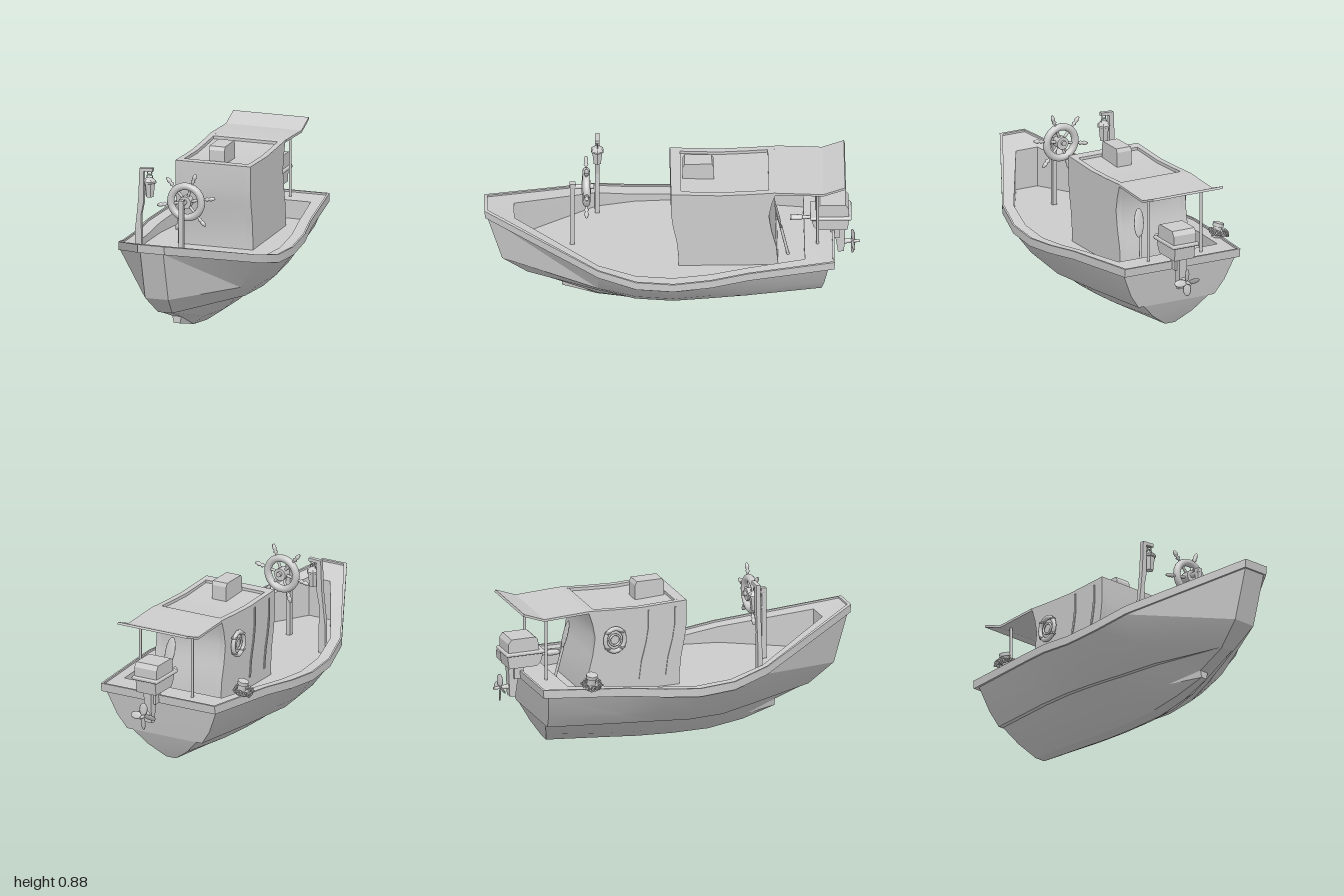
import * as THREE from 'three';
import { toCreasedNormals } from 'three/addons/utils/BufferGeometryUtils.js';
import { RoundedBoxGeometry } from 'three/addons/geometries/RoundedBoxGeometry.js';

const flat = new THREE.MeshStandardMaterial({ color: 0xcccccc, flatShading: true });
const smooth = new THREE.MeshStandardMaterial({ color: 0xcccccc, side: THREE.DoubleSide });

function add(parent, name, geo, mat = flat, pos = [0, 0, 0], rot = [0, 0, 0]) {
  const m = new THREE.Mesh(geo, mat);
  m.name = name;
  m.position.set(...pos);
  m.rotation.set(...rot);
  parent.add(m);
  return m;
}
function group(parent, name, pos = [0, 0, 0]) {
  const g = new THREE.Group();
  g.name = name;
  g.position.set(...pos);
  parent.add(g);
  return g;
}
const box = (w, h, d) => new THREE.BoxGeometry(w, h, d);
const cyl = (r1, r2, h, n = 12) => new THREE.CylinderGeometry(r1, r2, h, n);
const lathe = (pts, n) => new THREE.LatheGeometry(pts.map(p => new THREE.Vector2(...p)), n);

// Skin between fore-to-aft lines, mirrored in x and closed at bow and stern
function shell(lines) {
  const pos = [];
  const mir = ([x, y, z]) => [-x, y, z];
  const quad = (a, b, c, d) => pos.push(...a, ...b, ...c, ...a, ...c, ...d);
  for (let j = 0; j < lines.length - 1; j++) {
    const A = lines[j], B = lines[j + 1], n = A.length - 1;
    for (let i = 0; i < n; i++) {
      quad(A[i], B[i], B[i + 1], A[i + 1]);
      quad(mir(B[i]), mir(A[i]), mir(A[i + 1]), mir(B[i + 1]));
    }
    quad(A[0], mir(A[0]), mir(B[0]), B[0]);
    quad(B[n], mir(B[n]), mir(A[n]), A[n]);
  }
  const g = new THREE.BufferGeometry();
  g.setAttribute('position', new THREE.Float32BufferAttribute(pos, 3));
  return toCreasedNormals(g, .35);
}

// Side profile of [z, y] points extruded from x0 to x1
function profile(pts, x0, x1) {
  const s = new THREE.Shape(pts.map(([z, y]) => new THREE.Vector2(-z, y)));
  const g = new THREE.ExtrudeGeometry(s, { depth: x1 - x0, bevelEnabled: false });
  return toCreasedNormals(g.translate(0, 0, x0).rotateY(Math.PI / 2), .4);
}

function buildHull(boat) {
  const rimTop = [[.075, .613, 1], [.395, .445, .4], [.44, .40, .2], [.45, .39, 0], [.445, .41, -.2], [.41, .43, -.4], [.35, .455, -.86]];
  const rimBot = rimTop.map(([x, y, z]) => [x, y - .046, z * .995]);
  const hullTop = rimBot.map(([x, y, z], i) => [x - .01, y, i === 0 ? .985 : i === 6 ? -.825 : z]);
  // Small raised lip, sloping ledge, upright walls and a level deck
  const lip = rimTop.map(([x, y, z], i) => [x - .01, y, i === 0 ? .982 : i === 6 ? -.848 : z]);
  const lipFoot = lip.map(([x, y, z]) => [x, y - .01, z]);
  const ledge = [[.065, .56, .84], [.325, .431, .4], [.365, .389, .2], [.375, .38, 0], [.37, .399, -.2], [.34, .419, -.4], [.3, .442, -.7]];
  const deck = ledge.map(([x, , z]) => [x, .342, z]);
  const chine = [[.04, .185, .77], [.19, .17, .4], [.25, .155, .2], [.28, .16, 0], [.28, .175, -.2], [.27, .185, -.4], [.23, .2, -.79]];
  const mid = chine.map(([x, y, z], i) => {
    const [X, Y, Z] = hullTop[i];
    const mix = (a, b) => a * .6 + b * .4;
    return i ? [mix(x, X) + (i === 1 ? .025 : .01), mix(y, Y) - .006, mix(z, Z)] : [.065, .295, .905];
  });
  const chineIn = chine.map(([x, y, z], i) => [x - (i ? .03 : .005), y + .004, z]);
  const lowMid = [[.025, .118, .585], [.09, .08, .4], [.13, .07, .2], [.14, .07, 0], [.145, .078, -.2], [.14, .088, -.4], [.12, .12, -.755]];
  const keel = [[.018, .08, .585], [.03, .03, .4], [.035, .003, .2], [.035, .003, 0], [.035, .012, -.2], [.035, .03, -.4], [.03, .055, -.72]];
  const centre = line => line.map(([, y, z]) => [0, y, z]);
  add(boat, 'gunwale', shell([deck, ledge, lipFoot, lip, rimTop, rimBot, hullTop]), smooth);
  add(boat, 'hull', shell([hullTop, mid, chine, chineIn]), smooth);
  add(boat, 'keel', shell([chineIn, lowMid, keel, centre(keel)]), smooth);
  add(boat, 'deck', shell([centre(deck), deck]), smooth);
}

function buildCabin(boat) {
  const cabin = group(boat, 'cabin');
  const front = [[-.03, .335], [-.03, .4], [-.02, .5], [0, .6], [.01, .68], [.01, .81]];
  const back = [[-.55, .815], [-.525, .74], [-.51, .66], [-.525, .56], [-.55, .46], [-.56, .335]];
  const roof = [[-.25, .80], [-.4, .806]];
  // Roof panel is sunk between the full-height side walls
  add(cabin, 'cabinBody', profile([...front, [-.045, .808], [-.045, .793], [-.25, .783], [-.4, .789], [-.51, .796], [-.51, .812], ...back], -.18, .18), smooth);
  for (const s of [-1, 1])
    add(cabin, 'cabinSide', profile([...front, ...roof, ...back], s < 0 ? -.211 : .18, s < 0 ? -.18 : .211), smooth);
  add(cabin, 'roofHatch', profile([[-.055, .785], [-.055, .865], [-.065, .885], [-.21, .885], [-.22, .865], [-.22, .785]], -.046, .042), smooth);
  add(cabin, 'awning', profile([[-.55, .815], [-.66, .81], [-.8, .803], [-.915, .846], [-.92, .834], [-.8, .79], [-.66, .797], [-.545, .802]], -.213, .213), smooth);
  for (const s of [-1, 1])
    add(cabin, 'awningPost', cyl(.008, .008, .36, 8), smooth, [s * .16, .62, -.77]);
  // Curved door edges on the right wall, following the cabin front
  const jamb = z => front.slice(1, 5).map(([fz, y]) => [z + fz * 1.3, y]).concat([[z + .013, .78]]);
  for (const z of [-.06, -.21])
    add(cabin, 'doorEdge', profile([...jamb(z), ...jamb(z - .012).reverse()], -.216, -.205), smooth);
  // Hanging ring with rope bindings
  const ring = group(cabin, 'ropeRing', [-.23, .643, -.405]);
  ring.rotation.y = Math.PI / 2;
  add(ring, 'ring', new THREE.TorusGeometry(.06, .012, 10, 28).scale(.92, 1.05, 1), smooth);
  add(ring, 'innerRing', new THREE.TorusGeometry(.03, .006, 8, 20), smooth);
  for (let i = 0; i < 4; i++) {
    const a = Math.PI / 4 + i * Math.PI / 2;
    add(ring, 'binding', new THREE.TorusGeometry(.013, .005, 6, 12), smooth,
      [Math.cos(a) * .056, Math.sin(a) * .062, 0], [Math.PI / 2, a, 0, 'ZYX']);
  }
  // Paddle leaning on the back wall
  add(cabin, 'paddleBlade', new THREE.SphereGeometry(1, 12, 8).scale(.03, .08, .007), smooth, [.1, .585, -.56], [.22, 0, .1]);
  add(cabin, 'paddleGrip', cyl(.008, .008, .18, 8), smooth, [.108, .43, -.594], [.22, 0, .1]);
}

function buildHelm(boat) {
  const helm = group(boat, 'helm', [.007, .715, .457]);
  add(helm, 'wheelPost', box(.024, .39, .024), flat, [0, -.175, .075]);
  add(helm, 'postCap', box(.028, .022, .03), flat, [0, .016, .073]);
  add(helm, 'axle', cyl(.014, .014, .12, 10), smooth, [0, .005, .02], [Math.PI / 2, 0, 0]);
  add(helm, 'wheelRim', new THREE.TorusGeometry(.086, .02, 12, 36), smooth);
  add(helm, 'wheelHub', cyl(.034, .034, .05, 20), flat, [0, 0, 0], [Math.PI / 2, 0, 0]);
  const spoke = [[0, .02], [.008, .02], [.007, .1], [.006, .112], [.013, .122], [.007, .13], [.012, .142], [.011, .15], [.006, .165], [0, .167]];
  for (let i = 0; i < 6; i++)
    add(helm, 'spoke', lathe(spoke, 10), smooth, [0, 0, 0], [0, 0, (11 - 90 + i * 60) * Math.PI / 180]);
}

function buildLantern(boat) {
  const lamp = group(boat, 'lanternStand', [0, 0, .395]);
  const pts = [[-.30, .335], [-.262, .335], [-.262, .49], [-.266, .6], [-.25, .68], [-.25, .846], [-.2, .848], [-.2, .866], [-.274, .862], [-.28, .7], [-.29, .6], [-.3, .51]];
  const post = new THREE.Shape(pts.map(p => new THREE.Vector2(...p)));
  add(lamp, 'lanternPost', new THREE.ExtrudeGeometry(post, { depth: .024, bevelEnabled: false }).translate(0, 0, -.012));
  add(lamp, 'hook', new THREE.TorusGeometry(.012, .003, 6, 14), smooth, [-.22, .838, 0]);
  add(lamp, 'handle', new THREE.TorusGeometry(.016, .003, 6, 14), smooth, [-.22, .816, 0]);
  const lantern = lathe([[0, .708], [.022, .708], [.023, .72], [.03, .782], [.037, .785], [.037, .794], [.026, .806], [.014, .813], [0, .813]], 6);
  add(lamp, 'lantern', lantern.rotateY(Math.PI / 6), flat, [-.22, 0, 0]);
}

function buildMotor(boat) {
  const motor = group(boat, 'outboardMotor', [.03, 0, 0]);
  add(motor, 'cowl', profile([[-.762, .57], [-.77, .632], [-.785, .645], [-.92, .645], [-.937, .62], [-.937, .57]], -.068, .068));
  add(motor, 'cowlBand', new RoundedBoxGeometry(.16, .02, .22, 2, .008), smooth, [0, .56, -.842]);
  add(motor, 'motorBase', profile([[-.735, .555], [-.75, .5], [-.77, .478], [-.93, .478], [-.94, .555]], -.06, .06));
  add(motor, 'tiller', cyl(.008, .014, .13, 10), smooth, [0, .52, -.69], [-Math.PI / 2, 0, 0]);
  add(motor, 'tillerGrip', new THREE.CapsuleGeometry(.016, .04, 4, 10), smooth, [0, .52, -.66], [Math.PI / 2, 0, 0]);
  add(motor, 'clampBracket', box(.07, .08, .05), flat, [0, .45, -.865]);
  add(motor, 'leg', profile([[-.855, .48], [-.92, .48], [-.912, .31], [-.88, .305]], -.022, .022));
  add(motor, 'propellerShaft', cyl(.006, .018, .12, 10), smooth, [0, .36, -.938], [-Math.PI / 2, 0, 0]);
  const prop = group(motor, 'propeller', [0, .36, -.96]);
  for (let i = 0; i < 4; i++) {
    const blade = group(prop, 'blade');
    blade.rotation.z = i * Math.PI / 2;
    add(blade, 'bladeSurface', new THREE.SphereGeometry(1, 10, 8).scale(.022, .036, .005), smooth, [0, .04, 0], [0, .5, 0]);
  }
}

function buildMooring(boat) {
  // Tilted bollard with a coil of chain round it
  const mooring = group(boat, 'mooringBollard', [-.37, .462, -.59]);
  mooring.rotation.z = .25;
  add(mooring, 'bollard', cyl(.022, .024, .07, 14), flat, [.014, .008, 0]);
  add(mooring, 'bollardCap', cyl(.03, .03, .02, 14), flat, [.014, .043, 0]);
  for (let i = 0; i < 16; i++) {
    const a = i * Math.PI / 8;
    add(mooring, 'chainLink', new THREE.TorusGeometry(.012, .0045, 6, 10).scale(1.2, 1, 1), smooth,
      [Math.cos(a) * .046, .002, Math.sin(a) * .046], [i % 2 ? Math.PI / 2 : 0, Math.PI / 2 - a, 0]);
  }
}

export function createModel() {
  const boat = new THREE.Group();
  boat.name = 'boat';
  for (const build of [buildHull, buildCabin, buildHelm, buildLantern, buildMotor, buildMooring]) build(boat);
  return boat;
}
